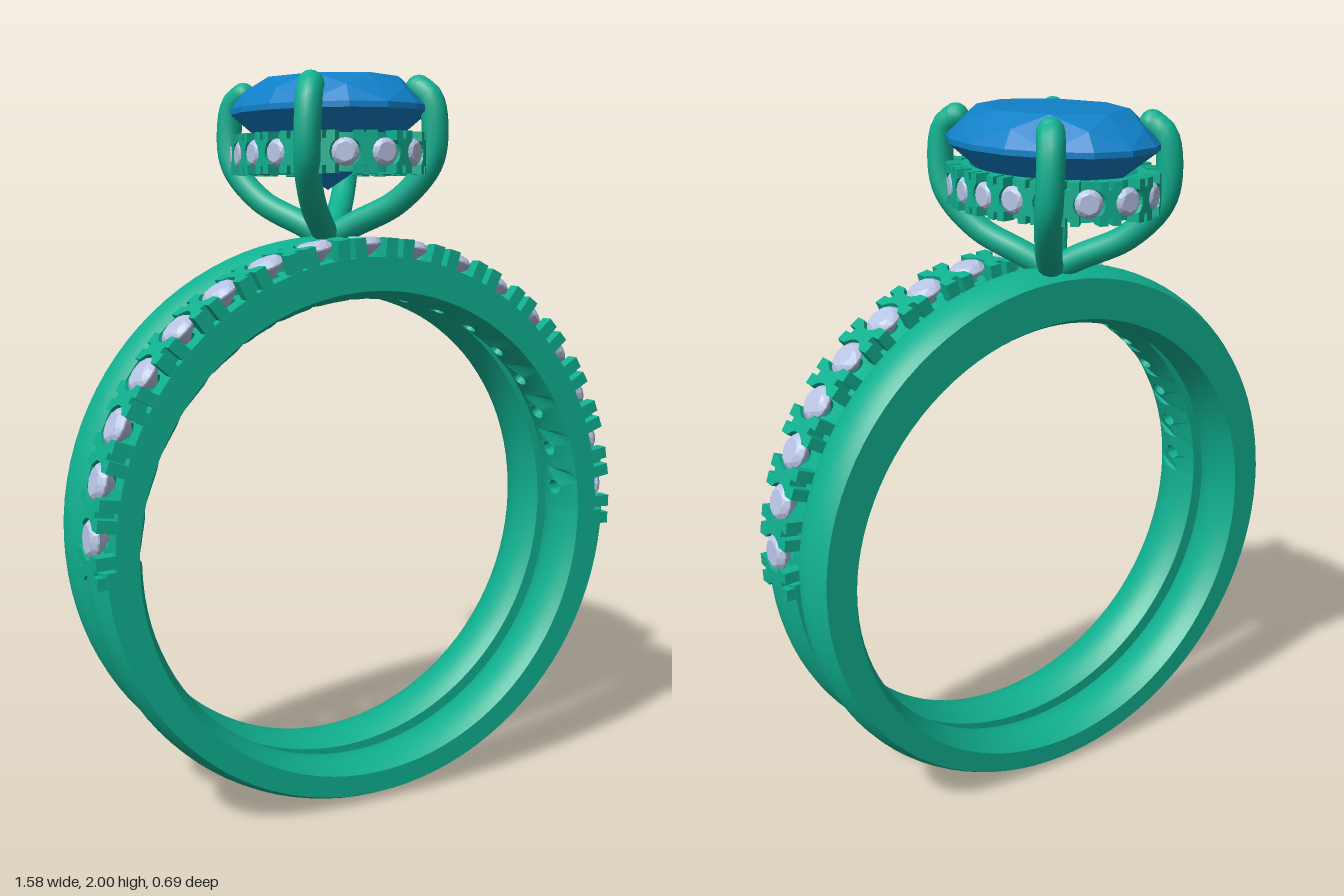
import * as THREE from 'three';
import { toCreasedNormals } from 'three/addons/utils/BufferGeometryUtils.js';
import { ConvexGeometry } from 'three/addons/geometries/ConvexGeometry.js';

const metal = new THREE.MeshStandardMaterial({ color: 0x10b090, side: THREE.DoubleSide });
const blue = new THREE.MeshStandardMaterial({ color: 0x1080c8, flatShading: true });
const pale = new THREE.MeshStandardMaterial({ color: 0xb8c4e4, flatShading: true });

const HALF = 0.081, R = 0.785, DOME = 0.025, SEAT = 0.735;
const CELL = THREE.MathUtils.degToRad(10.82), STONES = 17;
const START = Math.PI / 2 - CELL * STONES / 2;

function named(geometry, material, name) {
  const mesh = new THREE.Mesh(geometry, material);
  mesh.name = name;
  return mesh;
}

// band radii: thicker at the top, domed inside and out
const innerR = (t, z) => 0.648 - 0.0275 * Math.sin(t) + DOME * (z / HALF) ** 2;
const outerR = z => R - DOME * (z / HALF) ** 2;

// sweep the domed section around the finger; open arcs get end caps
function bandGeometry(t0, t1, steps) {
  const n = 8, m = 2 * (n + 1), pos = [], idx = [];
  const closed = t1 - t0 > 6.28;
  const ring = (t, collapse) => {
    for (let j = 0; j < m; j++) {
      const k = j % (n + 1);
      const z = (j <= n ? 1 - 2 * k / n : 2 * k / n - 1) * HALF;
      const r = collapse ? 0.71 : j <= n ? outerR(z) : innerR(t, z);
      pos.push(r * Math.cos(t), r * Math.sin(t), collapse ? 0 : z);
    }
  };
  if (!closed) ring(t0, true);
  for (let i = 0; i <= steps; i++) ring(t0 + (t1 - t0) * i / steps, false);
  if (!closed) ring(t1, true);
  const rows = pos.length / 3 / m;
  for (let i = 0; i < rows - 1; i++) for (let j = 0; j < m; j++) {
    const a = i * m + j, b = i * m + (j + 1) % m;
    idx.push(a, b, a + m, b, b + m, a + m);
  }
  const g = new THREE.BufferGeometry();
  g.setAttribute('position', new THREE.Float32BufferAttribute(pos, 3));
  g.setIndex(idx);
  return toCreasedNormals(g, 0.5);
}

// one stone's length of band, with a drilled hole, bent to the ring
function seatGeometry(t) {
  const w = CELL / 2 * R, pts = [], n = 6;
  const corners = [[-w, -HALF], [w, -HALF], [w, HALF], [-w, HALF]];
  corners.forEach(([x, y], c) => {
    const [x2, y2] = corners[(c + 1) % 4];
    for (let i = 0; i < n; i++) pts.push(new THREE.Vector2(x + (x2 - x) * i / n, y + (y2 - y) * i / n));
  });
  const shape = new THREE.Shape(pts);
  shape.holes.push(new THREE.Path().absarc(0, 0, 0.026, 0, Math.PI * 2, true));
  const g = new THREE.ExtrudeGeometry(shape, { depth: 1, bevelEnabled: false, curveSegments: 8 });
  const p = g.attributes.position;
  for (let i = 0; i < p.count; i++) {
    const a = t + p.getX(i) / R, z = p.getY(i), r0 = innerR(a, z);
    const r = r0 + (SEAT - r0) * p.getZ(i);
    p.setXYZ(i, r * Math.cos(a), r * Math.sin(a), z);
  }
  return toCreasedNormals(g, 0.5);
}

// split claw block between two stones, hollowed on both sides
function clawGeometry() {
  const q = [[0.02, 0], [0.022, 0.015], [0.029, 0.03], [0.042, 0.0435], [0.042, 0.08], [0.009, 0.08], [0.009, 0.05]];
  const flip = (list, sx, sy) => list.map(([x, y]) => [x * sx, y * sy]);
  const back = [...q].reverse();
  const outline = [...q, ...flip(back, -1, 1), ...flip(q.slice(1), -1, -1), ...flip(back.slice(0, -1), 1, -1)];
  const shape = new THREE.Shape(outline.map(([x, y]) => new THREE.Vector2(x, y)));
  const g = new THREE.ExtrudeGeometry(shape, { depth: 0.06, bevelEnabled: false });
  return g.translate(0, 0, -0.01);
}

// faceted stone, table at y = 0
function gemGeometry(rx, rz, girdle, depth, edge) {
  const pts = [];
  const ring = (n, k, y, off) => {
    for (let i = 0; i < n; i++) {
      const a = (i + off) / n * Math.PI * 2;
      pts.push(new THREE.Vector3(rx * k * Math.cos(a), y, rz * k * Math.sin(a)));
    }
  };
  ring(8, 0.7, 0, 0);
  ring(8, 0.87, -girdle * 0.44, 0.5);
  ring(16, 1, -girdle, 0);
  ring(16, 1, -girdle - edge, 0);
  ring(8, 0.5, -girdle - edge - (depth - girdle - edge) * 0.56, 0.5);
  pts.push(new THREE.Vector3(0, -depth, 0));
  return new ConvexGeometry(pts);
}

const claw = clawGeometry();
const smallStone = gemGeometry(0.053, 0.053, 0.016, 0.062, 0.004).rotateX(Math.PI / 2).translate(0, 0, 0.052);

// set an object on a surface: local z points outward, local y along up
function place(mesh, pos, out, up, scale = 1) {
  const side = new THREE.Vector3().crossVectors(up, out);
  mesh.quaternion.setFromRotationMatrix(new THREE.Matrix4().makeBasis(side, up, out));
  mesh.position.copy(pos);
  mesh.scale.setScalar(scale);
  return mesh;
}

function seatBand(group, z) {
  group.position.set(0, 0.79, z);
  group.rotation.x = -0.0155;
  return group;
}

export function createModel() {
  const model = new THREE.Group();
  model.name = 'ringSet';

  // plain band
  const plain = new THREE.Group();
  plain.name = 'plainBand';
  plain.add(named(bandGeometry(0, Math.PI * 2, 96), metal, 'plainHoop'));
  model.add(seatBand(plain, 0.018));

  // stone-set band: plain lower arc, drilled seats, claws and stones above
  const pave = new THREE.Group();
  pave.name = 'stoneBand';
  const end = START + CELL * STONES;
  pave.add(named(bandGeometry(end, START + Math.PI * 2, 48), metal, 'lowerArc'));
  const axis = new THREE.Vector3(0, 0, 1);
  const radial = t => new THREE.Vector3(Math.cos(t), Math.sin(t), 0);
  for (let i = 0; i <= STONES; i++) {
    const edge = radial(START + i * CELL);
    pave.add(place(named(claw, metal, 'bandClaw'), edge.clone().multiplyScalar(SEAT), edge, axis));
    if (i === STONES) break;
    const t = START + (i + 0.5) * CELL, out = radial(t);
    pave.add(named(seatGeometry(t), metal, 'stoneSeat'));
    pave.add(place(named(smallStone, pale, 'bandStone'), out.clone().multiplyScalar(SEAT), out, axis));
  }
  model.add(seatBand(pave, 0.22));

  // centre stone
  const gem = named(gemGeometry(0.256, 0.344, 0.08, 0.3, 0.015), blue, 'centreStone');
  gem.position.y = 2;
  model.add(gem);

  // oval halo with outward-facing stones
  const halo = new THREE.Group();
  halo.name = 'halo';
  const A = 0.222, B = 0.306, S = 0.68;
  const oval = new THREE.Shape().absellipse(0, 0, A, B, 0, Math.PI * 2, false);
  oval.holes.push(new THREE.Path().absellipse(0, 0, A - 0.03, B - 0.03, 0, Math.PI * 2, true));
  const core = new THREE.ExtrudeGeometry(oval, { depth: 0.1, bevelEnabled: false, curveSegments: 48 });
  core.rotateX(-Math.PI / 2).translate(0, -0.05, 0);
  halo.add(named(toCreasedNormals(core, 0.5), metal, 'haloCore'));
  const path = new THREE.EllipseCurve(0, 0, A, B, Math.PI / 2, Math.PI * 2.5);
  const up = new THREE.Vector3(0, 1, 0);
  path.getSpacedPoints(36).slice(0, 36).forEach((p, i) => {
    const pos = new THREE.Vector3(p.x, 0, p.y);
    const out = new THREE.Vector3(p.x / A ** 2, 0, p.y / B ** 2).normalize();
    const mesh = i % 2 ? named(claw, metal, 'haloClaw') : named(smallStone, pale, 'haloStone');
    halo.add(place(mesh, pos, out, up, S));
  });
  halo.position.y = 1.795;
  model.add(halo);

  // four curved prongs rising from the plain band
  const spine = [[0, 1.565, 0], [0.05, 1.605, 0.06], [0.13, 1.67, 0.17], [0.183, 1.77, 0.247],
    [0.188, 1.87, 0.262], [0.178, 1.94, 0.25], [0.16, 1.965, 0.222]];
  for (const sx of [-1, 1]) for (const sz of [-1, 1]) {
    const pts = spine.map(([x, y, z]) => new THREE.Vector3(x * sx, y, z * sz));
    const prong = new THREE.Group();
    prong.name = 'prong';
    prong.add(named(new THREE.TubeGeometry(new THREE.CatmullRomCurve3(pts), 32, 0.036, 12), metal, 'prongStem'));
    const tip = named(new THREE.SphereGeometry(0.036, 12, 8), metal, 'prongTip');
    tip.position.copy(pts[pts.length - 1]);
    prong.add(tip);
    model.add(prong);
  }
  return model;
}
